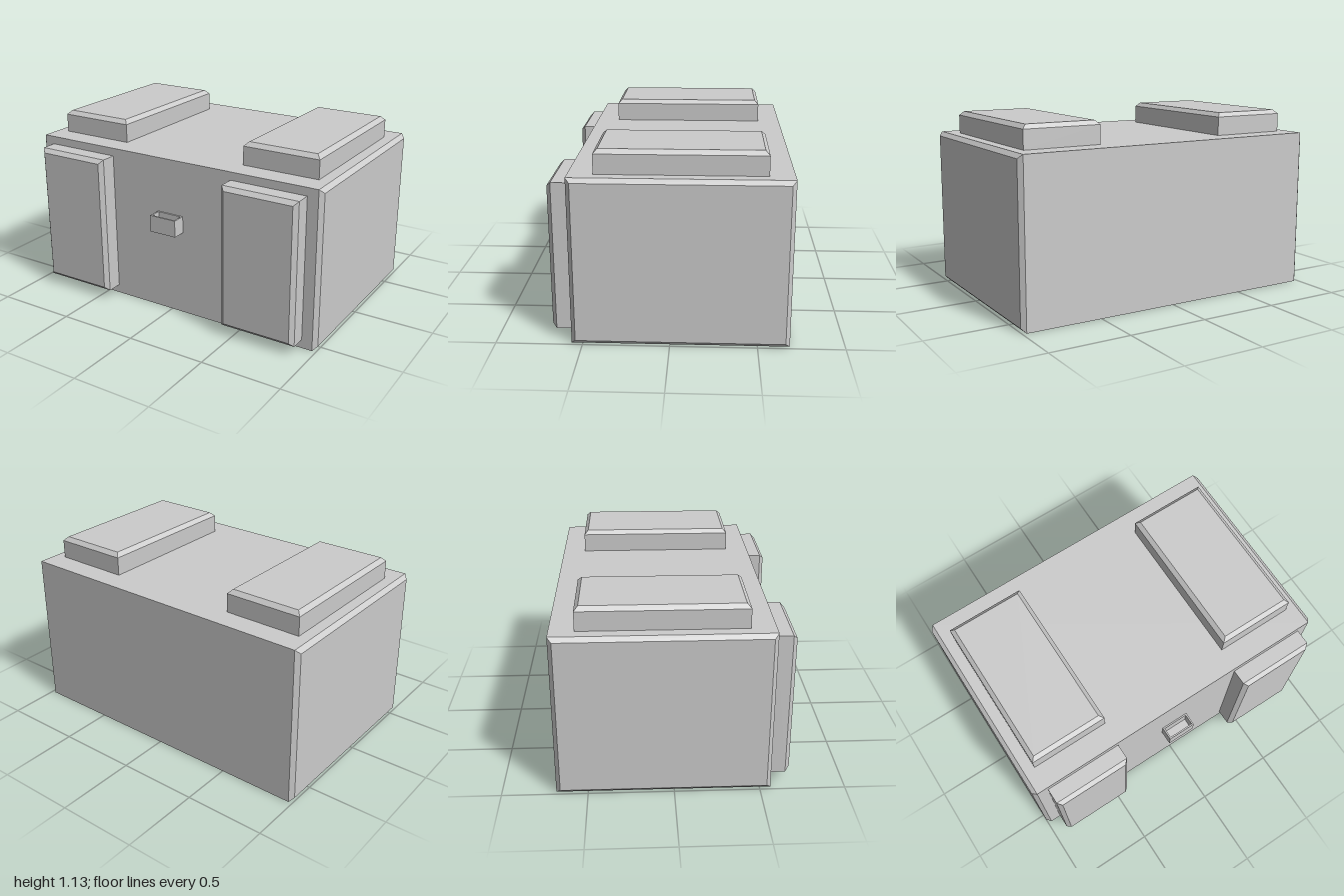
import * as THREE from 'three';

const material = new THREE.MeshStandardMaterial({ color: 0xcccccc, flatShading: true });
const CHAMFER = 0.025;

// Block standing on y = 0 whose top (and optionally bottom) edges are chamfered.
function chamferBlock(w, h, d, bothEnds = false) {
  const segments = bothEnds ? 3 : 2;
  const box = new THREE.BoxGeometry(w, h, d, 1, segments, 1);
  const p = box.attributes.position;
  for (let i = 0; i < p.count; i++) {
    const level = Math.round((p.getY(i) / h + 0.5) * segments);
    const atEnd = level === segments || (bothEnds && level === 0);
    if (atEnd) {
      p.setX(i, p.getX(i) - Math.sign(p.getX(i)) * CHAMFER);
      p.setZ(i, p.getZ(i) - Math.sign(p.getZ(i)) * CHAMFER);
    }
    if (level === segments) p.setY(i, h);
    else if (level === 0) p.setY(i, 0);
    else p.setY(i, level === segments - 1 ? h - CHAMFER : CHAMFER);
  }
  const geometry = box.toNonIndexed();
  geometry.computeVertexNormals();
  return geometry;
}

function rectangle(PathType, x0, y0, x1, y1) {
  return new PathType([
    new THREE.Vector2(x0, y0), new THREE.Vector2(x1, y0),
    new THREE.Vector2(x1, y1), new THREE.Vector2(x0, y1),
  ]);
}

export function createModel() {
  const model = new THREE.Group();
  model.name = 'chest';
  const add = (parent, name, geometry, x, y, z) => {
    const mesh = new THREE.Mesh(geometry, material);
    mesh.name = name;
    mesh.position.set(x, y, z);
    parent.add(mesh);
  };

  // Main body, chamfered around its two end faces
  const body = chamferBlock(0.99, 2, 1.25, true).rotateZ(-Math.PI / 2);
  add(model, 'body', body, -1, 0.495, -0.06);

  // Raised panels on the lid and the front
  for (const [side, s] of [['left', 1], ['right', -1]]) {
    add(model, side + 'TopPanel', chamferBlock(0.485, 0.14, 0.965), s * 0.665, 0.99, -0.06);
    const front = chamferBlock(0.485, 0.12, 0.885).rotateX(Math.PI / 2);
    add(model, side + 'FrontPanel', front, s * 0.665, 0.4975, 0.565);
  }

  // Cup-shaped latch, open at the top
  const latch = new THREE.Group();
  latch.name = 'latch';
  const rim = rectangle(THREE.Shape, -0.09, -0.65, 0.09, -0.565);
  rim.holes.push(rectangle(THREE.Path, -0.08, -0.64, 0.08, -0.574));
  const walls = new THREE.ExtrudeGeometry(rim, { depth: 0.105, bevelEnabled: false });
  add(latch, 'latchWalls', walls.rotateX(-Math.PI / 2), 0, 0.54, 0);
  add(latch, 'latchFloor', new THREE.BoxGeometry(0.16, 0.01, 0.066), 0, 0.545, 0.607);
  model.add(latch);

  return model;
}
